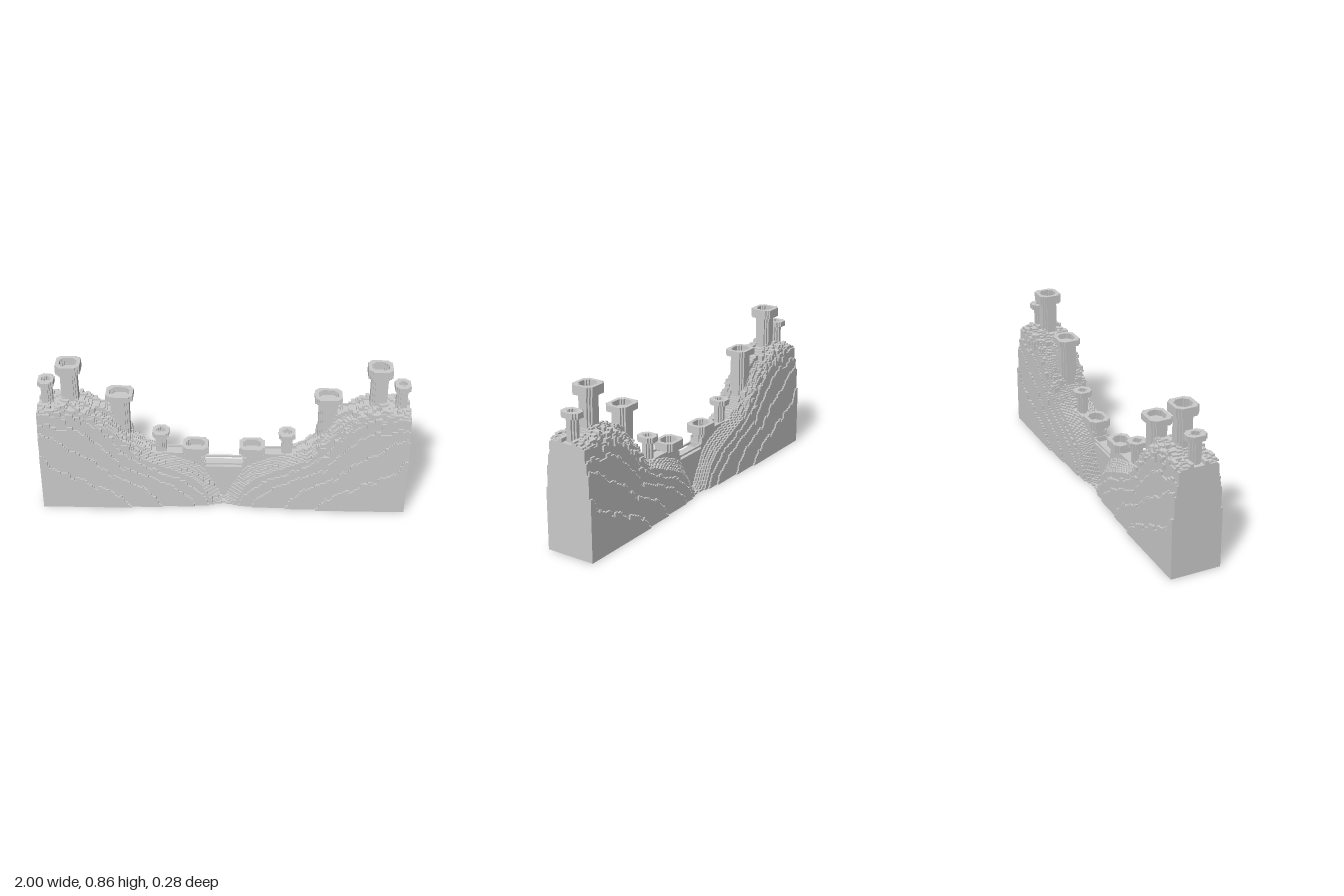
import * as THREE from 'three';
import { mergeGeometries } from 'three/addons/utils/BufferGeometryUtils.js';

const U = 0.01; // block size
const material = new THREE.MeshStandardMaterial({ color: 0xcccccc, flatShading: true });
const snap = v => Math.round(v / U) * U;

// Height of each terrain shelf along |x|, keyed by how far out in z it reaches
const SHELVES = {
  4: [[0, .22], [.1, .22], [.11, .28], [.24, .31], [.4, .31], [.41, .34], [.45, .35], [.5, .4], [.55, .48],
    [.6, .56], [.64, .6], [.7, .61], [.76, .64], [.85, .66], [.92, .62], [1, .61]],
  5: [[0, .01], [.02, .04], [.1, .19], [.15, .24], [.24, .28], [.4, .32], [.45, .35], [.5, .4], [.55, .47],
    [.6, .55], [.7, .61], [.76, .63], [.85, .65], [.92, .62], [1, .61]],
  10: [[0, 0], [.05, 0], [.11, .12], [.18, .19], [.24, .22], [.35, .27], [.45, .31], [.5, .36], [.6, .48],
    [.7, .58], [.8, .62], [.9, .61], [1, .59]],
  11: [[0, 0], [.08, 0], [.12, .08], [.2, .16], [.35, .23], [.5, .3], [.6, .43], [.7, .54], [.8, .59], [1, .58]],
  12: [[0, 0], [.16, 0], [.18, .06], [.25, .12], [.4, .2], [.55, .26], [.65, .38], [.77, .5], [.9, .52], [1, .54]],
  13: [[0, 0], [.34, 0], [.37, .07], [.45, .14], [.6, .2], [.7, .3], [.75, .35], [.85, .38], [.94, .46], [1, .48]],
  14: [[0, 0], [.51, 0], [.57, .08], [.7, .14], [.8, .2], [.88, .22], [.95, .27], [.97, .32], [1, .355]],
};

function sample(points, x) {
  for (let i = 1; i < points.length; i++) {
    const [x0, y0] = points[i - 1], [x1, y1] = points[i];
    if (x <= x1) return y0 + (y1 - y0) * (x - x0) / (x1 - x0);
  }
  return points.at(-1)[1];
}

function noise(a, b) {
  const s = Math.sin(a * 127.1 + b * 311.7) * 43758.5453;
  return s - Math.floor(s);
}

// Block heights for one column, counted in blocks; k is the shelf 1..14
function heightAt(i, k) {
  const x = (i + .5) * U;
  if (k <= 4) return Math.round(sample(SHELVES[4], x) / U) - (k < 4 && x > .11 ? 1 : 0);
  let y;
  if (k > 5 && k < 10) {
    y = THREE.MathUtils.lerp(sample(SHELVES[5], x), sample(SHELVES[10], x), (k - 5) / 5);
  } else y = sample(SHELVES[k], x);
  const rough = x > .45 ? .035 : k > 10 ? .02 : 0;
  if (y > .03) y += (noise(Math.floor(i / 3), k) - .6) * rough;
  return Math.max(0, Math.round(y / U));
}

// Blocky valley: exposed faces of a mirrored height grid
function terrainGeometry() {
  const rows = [];
  for (let i = 0; i < 100; i++) {
    const row = [];
    for (let k = 14; k >= 1; k--) row[k] = Math.max(heightAt(i, k), k >= 4 && k < 14 ? row[k + 1] : 0);
    rows.push(row);
  }
  const height = (i, j) => {
    if (i < -100 || i > 99 || j < -14 || j > 13) return 0;
    return rows[i < 0 ? -1 - i : i][j < 0 ? -j : j + 1] * U;
  };
  const pos = [];
  const quad = (a, b, c, d) => pos.push(...a, ...b, ...c, ...a, ...c, ...d);
  for (let i = -100; i < 100; i++) {
    for (let j = -14; j < 14; j++) {
      const h = height(i, j);
      if (h <= 0) continue;
      const x0 = i * U, x1 = x0 + U, z0 = j * U, z1 = z0 + U;
      quad([x0, h, z1], [x1, h, z1], [x1, h, z0], [x0, h, z0]);
      quad([x0, 0, z0], [x1, 0, z0], [x1, 0, z1], [x0, 0, z1]);
      let n = height(i + 1, j);
      if (n < h) quad([x1, n, z1], [x1, n, z0], [x1, h, z0], [x1, h, z1]);
      n = height(i - 1, j);
      if (n < h) quad([x0, n, z0], [x0, n, z1], [x0, h, z1], [x0, h, z0]);
      n = height(i, j + 1);
      if (n < h) quad([x0, n, z1], [x1, n, z1], [x1, h, z1], [x0, h, z1]);
      n = height(i, j - 1);
      if (n < h) quad([x1, n, z0], [x0, n, z0], [x0, h, z0], [x1, h, z0]);
    }
  }
  const g = new THREE.BufferGeometry();
  g.setAttribute('position', new THREE.Float32BufferAttribute(pos, 3));
  g.computeVertexNormals();
  return g;
}

// Rectangle with two-step blocky corners
function notched(w, d, Type = THREE.Shape) {
  const corner = [[w, d - 2 * U], [w - U, d - 2 * U], [w - U, d - U], [w - 2 * U, d - U], [w - 2 * U, d]];
  const pts = [];
  [[1, 1], [-1, 1], [-1, -1], [1, -1]].forEach(([sx, sy]) => {
    const c = sx * sy > 0 ? corner : [...corner].reverse();
    c.forEach(([x, y]) => pts.push(new THREE.Vector2(x * sx, y * sy)));
  });
  return new Type(pts);
}

function upright(shape, y0, y1) {
  return new THREE.ExtrudeGeometry(shape, { depth: y1 - y0, bevelEnabled: false })
    .rotateX(-Math.PI / 2).translate(0, y0, 0);
}

// Shaft with a wider, hollow parapet on top
function tower({ x, base, rim, top, shaft, cap }) {
  const group = new THREE.Group();
  group.name = 'tower';
  const body = new THREE.Mesh(upright(notched(...shaft), base, rim + .005), material);
  body.name = 'towerShaft';
  const ring = notched(...cap);
  ring.holes.push(notched(cap[0] - .02, cap[1] - .02, THREE.Path));
  const parapet = new THREE.Mesh(upright(ring, rim, top), material);
  parapet.name = 'towerParapet';
  group.add(body, parapet);
  group.position.x = x;
  return group;
}

// Loose blocks jutting from the upper slopes
function rocksGeometry() {
  const parts = [];
  for (let n = 0; n < 90; n++) {
    const x = snap(.5 + .48 * noise(n, 1));
    const k = 6 + Math.floor(noise(n, 2) * 6);
    const shelf = heightAt(Math.min(99, Math.floor(x / U)), k) * U;
    const w = U * (1 + Math.floor(noise(n, 3) * 3)), h = U * (1 + Math.floor(noise(n, 4) * 3));
    const y = shelf - U * Math.floor(noise(n, 5) * 3);
    for (const sx of [-1, 1]) for (const sz of [-1, 1]) {
      parts.push(new THREE.BoxGeometry(w, h, .02).translate(sx * (x + w / 2 - .005), y - h / 2 + U, sz * k * U));
    }
  }
  return mergeGeometries(parts);
}

export function createModel() {
  const model = new THREE.Group();
  model.name = 'fortifiedValley';
  const add = (name, geometry) => {
    const mesh = new THREE.Mesh(geometry, material);
    mesh.name = name;
    model.add(mesh);
    return mesh;
  };
  add('terrain', terrainGeometry());
  add('rocks', rocksGeometry());

  // Rails over the low central crossing
  for (const s of [-1, 1]) {
    add('bridgeRail', new THREE.BoxGeometry(.21, .01, .01)).position.set(0, .24, s * .035);
  }

  // Towers climbing both sides
  const towers = [
    { x: .155, base: .2, rim: .305, top: .35, shaft: [.05, .04], cap: [.07, .06] },
    { x: .345, base: .25, rim: .405, top: .435, shaft: [.03, .03], cap: [.045, .05] },
    { x: .56, base: .35, rim: .645, top: .68, shaft: [.05, .045], cap: [.073, .062] },
    { x: .825, base: .58, rim: .81, top: .86, shaft: [.045, .043], cap: [.065, .063] },
    { x: .95, base: .56, rim: .725, top: .755, shaft: [.03, .033], cap: [.042, .053] },
  ];
  for (const s of [-1, 1]) for (const t of towers) model.add(tower({ ...t, x: s * t.x }));
  return model;
}
